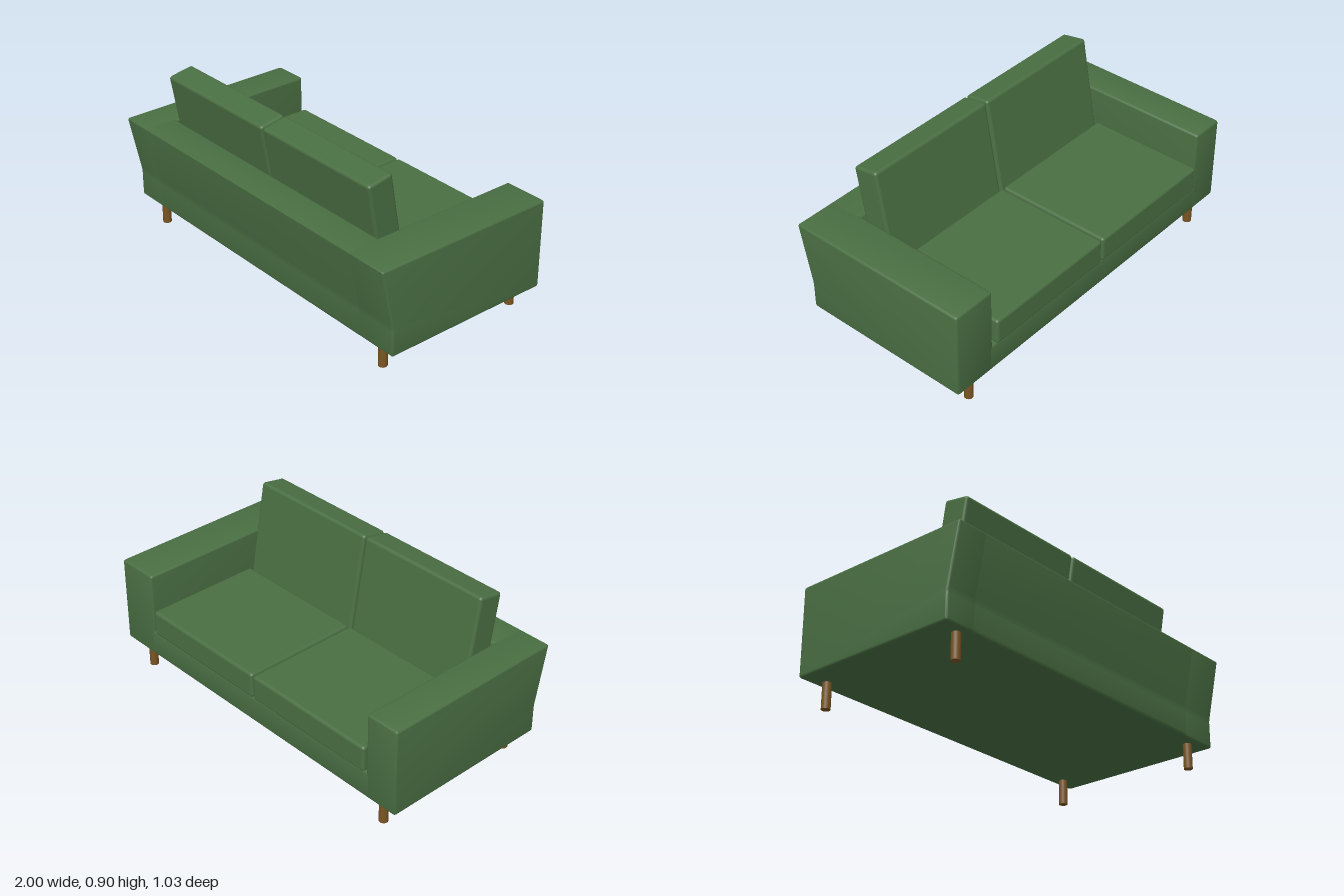
import * as THREE from 'three';
import { toCreasedNormals } from 'three/addons/utils/BufferGeometryUtils.js';
import { RoundedBoxGeometry } from 'three/addons/geometries/RoundedBoxGeometry.js';

const fabric = new THREE.MeshStandardMaterial({ color: 0x4a6f43 });
const wood = new THREE.MeshStandardMaterial({ color: 0x7a5522 });
const EDGE = 0.014;

// Closed outline of [z, y] corners, each softened by a small curve
function softShape(points, r) {
  const pts = points.map(([z, y]) => new THREE.Vector2(-z, y));
  const shape = new THREE.Shape();
  pts.forEach((p, i) => {
    const prev = pts[(i + pts.length - 1) % pts.length];
    const next = pts[(i + 1) % pts.length];
    const a = p.clone().add(prev.clone().sub(p).setLength(r));
    const b = p.clone().add(next.clone().sub(p).setLength(r));
    if (i === 0) shape.moveTo(a.x, a.y);
    else shape.lineTo(a.x, a.y);
    shape.quadraticCurveTo(p.x, p.y, b.x, b.y);
  });
  shape.closePath();
  return shape;
}

// Side profile extruded across the width from x0 to x1
function prism(name, points, x0, x1, bevel) {
  const b = bevel ? EDGE * 0.8 : 0;
  const geo = new THREE.ExtrudeGeometry(softShape(points, EDGE), {
    depth: x1 - x0 - 2 * b, curveSegments: 3, bevelEnabled: bevel,
    bevelThickness: b, bevelSize: b, bevelOffset: -b, bevelSegments: 3,
  });
  geo.translate(0, 0, x0 + b);
  geo.rotateY(Math.PI / 2);
  const mesh = new THREE.Mesh(toCreasedNormals(geo, 0.6), fabric);
  mesh.name = name;
  return mesh;
}

function cushion(name, w, h, d, x, y, z, tilt = 0) {
  const mesh = new THREE.Mesh(new RoundedBoxGeometry(w, h, d, 3, 0.016), fabric);
  mesh.name = name;
  mesh.position.set(x, y, z);
  mesh.rotation.x = tilt;
  return mesh;
}

export function createModel() {
  const sofa = new THREE.Group();
  sofa.name = 'sofa';

  // Arms share the raked rear outline of the frame; one is slightly wider
  const rear = [[0.447, 0.135], [0.447, 0.285], [0.516, 0.61]];
  const armProfile = [[-0.502, 0.135], ...rear, [-0.502, 0.61]];
  const innerRight = -0.812, innerLeft = 0.762;
  sofa.add(prism('rightArm', armProfile, -1, innerRight, true));
  sofa.add(prism('leftArm', armProfile, innerLeft, 1, true));

  // Base, seat deck and backrest in one L profile between the arms
  const seatProfile = [[-0.502, 0.135], ...rear, [0.332, 0.61], [0.27, 0.28], [-0.502, 0.28]];
  sofa.add(prism('baseAndBack', seatProfile, innerRight - EDGE, innerLeft + EDGE, false));

  // Two seat cushions and two leaning back cushions
  [['right', -0.42], ['left', 0.357]].forEach(([side, x]) => {
    sofa.add(cushion(side + 'SeatCushion', 0.77, 0.14, 0.646, x, 0.35, -0.192));
    sofa.add(cushion(side + 'BackCushion', 0.77, 0.61, 0.145, x, 0.585, 0.25, 0.175));
  });

  // Round wooden legs
  for (const x of [-0.873, 0.87]) {
    for (const z of [-0.443, 0.385]) {
      const leg = new THREE.Mesh(new THREE.CylinderGeometry(0.023, 0.023, 0.14, 24), wood);
      leg.name = (z < 0 ? 'front' : 'back') + (x < 0 ? 'Right' : 'Left') + 'Leg';
      leg.position.set(x, 0.07, z);
      sofa.add(leg);
    }
  }
  return sofa;
}
